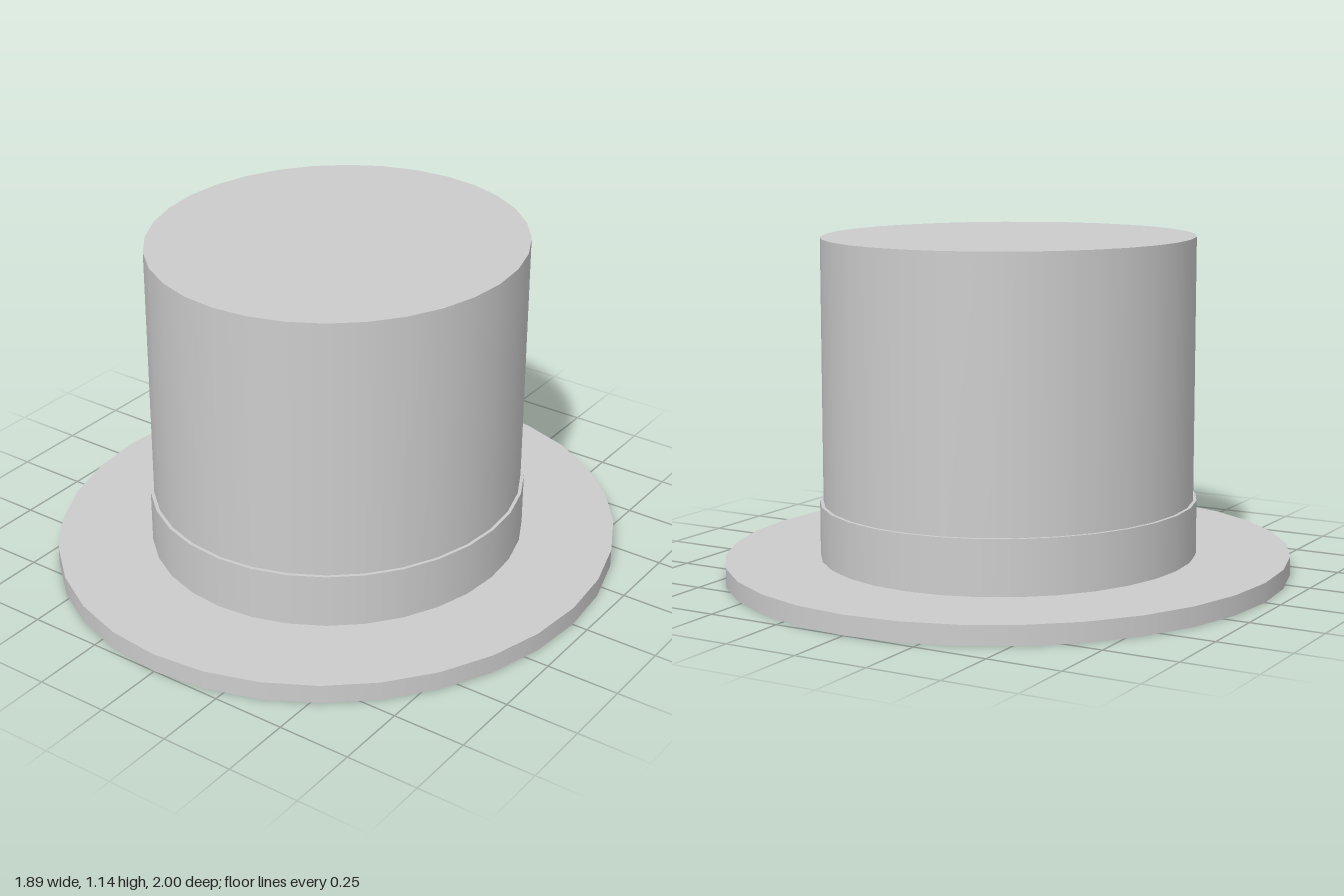
import * as THREE from 'three';

export function createModel() {
  const hat = new THREE.Group();
  hat.name = 'topHat';
  const grey = new THREE.MeshStandardMaterial({ color: 0xcccccc });
  grey.name = 'light grey';

  // Slightly oval closed drum from y0 to y1, radius measured along z
  const addDrum = (name, radius, y0, y1) => {
    const geometry = new THREE.CylinderGeometry(radius, radius, y1 - y0, 32);
    geometry.scale(0.946, 1, 1);
    const mesh = new THREE.Mesh(geometry, grey);
    mesh.name = name;
    mesh.position.y = (y0 + y1) / 2;
    hat.add(mesh);
  };

  addDrum('brim', 1, 0, 0.065);
  addDrum('hatBand', 0.667, 0.065, 0.25);
  addDrum('crown', 0.655, 0.065, 1.14);
  return hat;
}
